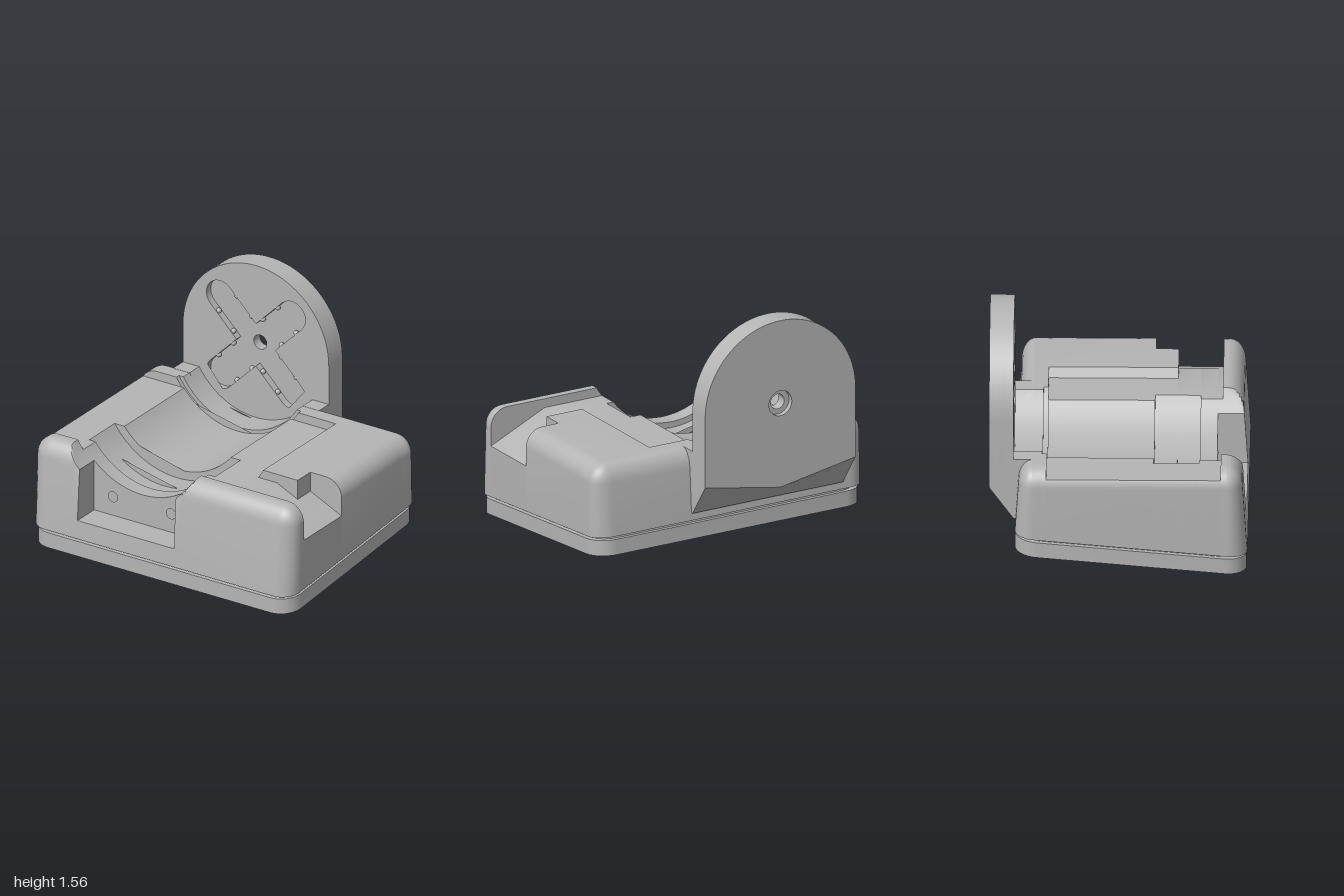
import * as THREE from 'three';
import { toCreasedNormals } from 'three/addons/utils/BufferGeometryUtils.js';

const CX = -0.26, CY = 1.0;          // cradle axis, running along z
const TOP = 0.73, LOW = 0.67, R = 0.12; // rim height, recessed height, edge rounding
const bottomAt = z => 0.125 + (0.82 - z) * 0.09;
const clamp01 = v => Math.min(1, Math.max(0, v));
const V = (x, y) => new THREE.Vector2(x, y);

function arc(cx, cy, r, a0, a1, n) {
  return Array.from({ length: n + 1 }, (_, i) => {
    const a = a0 + (a1 - a0) * i / n;
    return V(cx + r * Math.cos(a), cy + r * Math.sin(a));
  });
}

function circleHole(x, y, r) {
  return new THREE.Path().absarc(x, y, r, 0, Math.PI * 2, true);
}

// Extrude a shape from z0 to z1, bend its points by a rule, keep hard edges sharp
function extrude(shape, z0, z1, rule, steps = 1) {
  const g = new THREE.ExtrudeGeometry(shape, { depth: z1 - z0, steps, bevelEnabled: false, curveSegments: 20 });
  const p = g.attributes.position, v = new THREE.Vector3();
  for (let i = 0; i < p.count; i++) {
    v.fromBufferAttribute(p, i);
    v.z += z0;
    if (rule) rule(v);
    p.setXYZ(i, v.x, v.y, v.z);
  }
  return toCreasedNormals(g, 0.6);
}

// Lower arc of the cradle, from height yl on the left to yr on the right
function troughPoints(r, yl, yr, pocket) {
  const a0 = -Math.acos((1 - yl) / r), a1 = Math.acos((1 - yr) / r);
  const pts = Array.from({ length: 41 }, (_, i) => {
    const a = a0 + (a1 - a0) * i / 40;
    return V(CX + r * Math.sin(a), CY - r * Math.cos(a));
  });
  if (!pocket) return pts;
  const w = 0.37, y = CY - Math.sqrt(r * r - w * w);
  return [
    ...pts.filter(p => p.x < CX - w), V(CX - w, y), V(CX - w, 0.25),
    V(CX + w, 0.25), V(CX + w, y), ...pts.filter(p => p.x > CX + w),
  ];
}

// Body cross-section; y = 0 marks the sloping underside
function bodyShape(r, leftTop, rightTop, rightPoints, pocket) {
  const a = Math.asin((leftTop - (TOP - R)) / R);
  return new THREE.Shape([
    V(-1, 0), ...arc(-1 + R, TOP - R, R, Math.PI, Math.PI - a, 8),
    ...troughPoints(r, leftTop, rightTop, pocket), ...rightPoints, V(1, 0),
  ]);
}

export function createModel() {
  const model = new THREE.Group();
  const grey = new THREE.MeshStandardMaterial({ color: 0xb5b5b5 });
  grey.name = 'grey plastic';
  const add = (name, geometry, parent = model) => {
    const m = new THREE.Mesh(geometry, grey);
    m.name = name;
    parent.add(m);
    return m;
  };

  // Body, in slices from back to front
  const body = new THREE.Group();
  body.name = 'body';
  model.add(body);
  const rim = arc(1 - R, TOP - R, R, Math.PI / 2, 0, 8);
  const shelf = [V(0.46, LOW), V(0.495, TOP)];
  const ramp = [V(0.6, LOW), V(1, 0.485)];
  const notch = [...shelf, V(0.76, TOP), V(0.76, 0.596), V(1, 0.485)];
  const backShape = bodyShape(0.512, TOP, TOP, rim);
  const frontShape = bodyShape(0.545, TOP, TOP, rim, true);
  const frontWall = bodyShape(0.545, LOW, LOW, ramp);
  frontWall.holes.push(circleHole(-0.485, 0.38, 0.035), circleHole(-0.04, 0.38, 0.035));
  const slices = [
    ['backRim', -0.67, -0.55, backShape, -1],
    ['backLip', -0.55, -0.49, backShape],
    ['backGroove', -0.49, -0.46, bodyShape(0.54, TOP, TOP, rim)],
    ['cradle', -0.46, 0.22, bodyShape(0.525, LOW, LOW, [...shelf, ...rim])],
    ['wideGrooveBack', 0.22, 0.365, bodyShape(0.585, LOW, LOW, notch)],
    ['wideGrooveFront', 0.365, 0.51, bodyShape(0.585, LOW, LOW, ramp)],
    ['frontWall', 0.51, 0.62, frontWall],
    ['pocketBack', 0.62, 0.65, bodyShape(0.545, LOW, LOW, ramp, true)],
    ['frontLip', 0.65, 0.70, frontShape],
    ['frontRim', 0.70, 0.82, frontShape, 1],
  ];
  for (const [name, z0, z1, shape, round] of slices) {
    const rule = v => {
      if (round) { // round the end edges and corners
        const t = (round > 0 ? v.z - z0 : z1 - v.z) / (z1 - z0);
        const k = Math.cos(t * Math.PI / 2);
        v.z = (round > 0 ? z0 : z1) + round * R * Math.sin(t * Math.PI / 2);
        const side = Math.abs(v.x) - (1 - R);
        if (side > 0) {
          v.x = Math.sign(v.x) * (1 - R + side * k);
          if (v.y > TOP - R) v.y = TOP - R + (v.y - TOP + R) * k;
        }
        v.y = Math.min(v.y, TOP - R + R * k);
      }
      if (v.y < 0.01) v.y = bottomAt(v.z);
      // draft on the front and back walls
      const rise = Math.max(0, v.y - 0.12) * 0.066;
      v.z -= rise * clamp01((v.z - 0.65) / 0.17);
      v.z += rise * clamp01((-0.55 - v.z) / 0.12);
    };
    add(name, extrude(shape, z0, z1, rule, round ? 8 : 1), body);
  }

  // Block joining body and back plate
  const joint = new THREE.Shape([
    V(-0.82, 0.31), V(-0.82, TOP), ...troughPoints(0.512, TOP, TOP), V(0.3, TOP), V(0.3, 0.31),
  ]);
  add('plateJoint', extrude(joint, -0.67, -0.56));

  // Sloping base, with a narrower neck that leaves a groove under the body
  function baseSlab(inset, low, high) {
    const x = 1 - inset, zb = -0.665 + inset, zf = 0.82 - inset, r = 0.14;
    const H = Math.PI / 2;
    const outline = new THREE.Shape([
      ...arc(x - r, zf - r, r, 0, H, 8), ...arc(-x + r, zf - r, r, H, 2 * H, 8),
      ...arc(-x + r, zb + r, r, 2 * H, 3 * H, 8), ...arc(x - r, zb + r, r, 3 * H, 4 * H, 8),
    ]);
    return extrude(outline, 0, 1, v => {
      const z = v.y, y = low + (high - low) * (1 - v.z) + (0.82 - z) * 0.09;
      v.set(v.x, y, z);
    });
  }
  add('base', baseSlab(0.005, 0.0, 0.105));
  add('baseNeck', baseSlab(0.035, 0.1, 0.14));

  // Round-topped back plate, in three layers with a sloping V underside
  const plate = new THREE.Group();
  plate.name = 'backPlate';
  model.add(plate);
  const plateShape = hole => {
    const s = new THREE.Shape([
      V(-0.82, 0), V(CX, 0), V(0.3, 0), ...arc(CX, CY, 0.56, 0, Math.PI, 48),
    ]);
    s.holes.push(hole);
    return s;
  };
  const underside = v => {
    if (v.y > 0.01) return;
    const f = (-0.67 - v.z) / 0.155;
    v.y = 0.31 + (Math.abs(v.x - CX) < 0.01 ? 0.12 : 0.22) * f;
  };
  const cross = [];
  for (let i = 0; i < 4; i++) {
    const a = Math.PI / 4 + i * Math.PI / 2, r = 0.105, reach = 0.389;
    cross.push(...arc(CX + reach * Math.cos(a), CY + reach * Math.sin(a), r, a - Math.PI / 2, a + Math.PI / 2, 12));
    const c = a + Math.PI / 4;
    cross.push(V(CX + r * Math.SQRT2 * Math.cos(c), CY + r * Math.SQRT2 * Math.sin(c)));
  }
  add('crossRecess', extrude(plateShape(new THREE.Path(cross)), -0.72, -0.67, underside), plate);
  add('plateCore', extrude(plateShape(circleHole(CX, CY, 0.05)), -0.79, -0.72, underside), plate);
  add('plateBack', extrude(plateShape(circleHole(CX, CY, 0.085)), -0.825, -0.79, underside), plate);

  // Small grip bumps along the walls of the cross recess
  const bump = new THREE.SphereGeometry(0.018, 10, 8);
  for (let i = 0; i < 4; i++) {
    const a = Math.PI / 4 + i * Math.PI / 2, c = Math.cos(a), s = Math.sin(a);
    for (const u of [0.16, 0.32]) for (const w of [-0.1, 0.1]) {
      add('gripBump', bump, plate).position.set(CX + u * c - w * s, CY + u * s + w * c, -0.69);
    }
  }
  return model;
}
